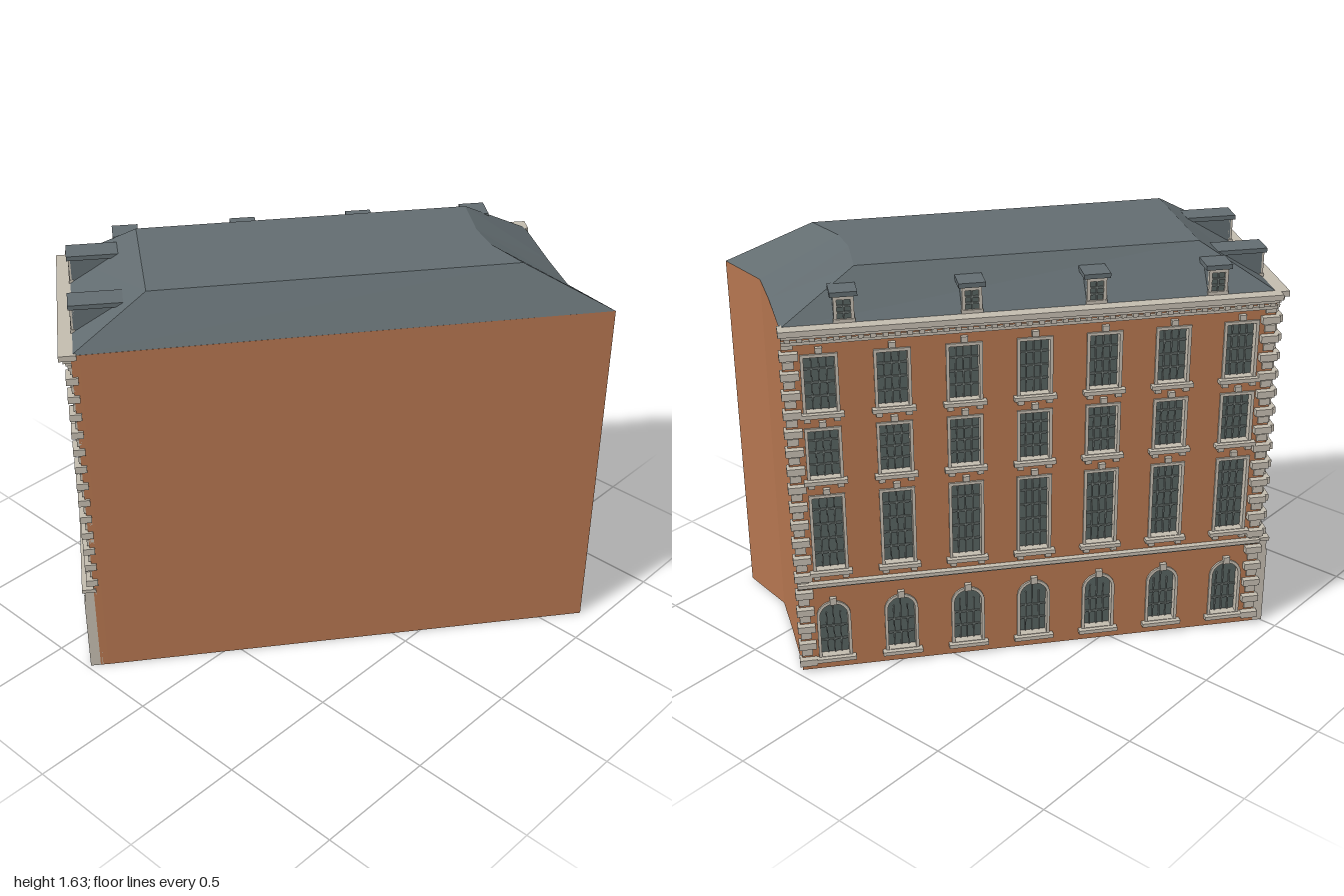
import * as THREE from 'three';

const mat = (color) => new THREE.MeshStandardMaterial({ color, flatShading: true });
const BRICK = mat(0xb4754f), ROOF = mat(0x626c70), STONE = mat(0xc2bbae), GLASS = mat(0x56615f), BAR = mat(0x747d7a);

const H = 1.457, TOP = 1.63, DEPTH = 0.03;
// plan corners [x, z]
const A = [-0.475, -0.905], B = [0.97, 0.25], C = [0.643, 0.92], D = [-0.955, -0.305];
const CURVE = [[0.69, 0.668], [0.8, 0.497]];

function add(parent, name, geometry, material, x = 0, y = 0, z = 0) {
  const m = new THREE.Mesh(geometry, material);
  m.name = name;
  m.position.set(x, y, z);
  parent.add(m);
  return m;
}

// box given by its centre x, bottom and top y, back and front z
function box(parent, name, material, x, w, y0, y1, z0, z1) {
  return add(parent, name, new THREE.BoxGeometry(w, y1 - y0, z1 - z0), material, x, (y0 + y1) / 2, (z0 + z1) / 2);
}

// rectangular or round-headed outline
function opening(Type, x, w, y0, y1, arched) {
  const p = new Type(), r = w / 2;
  p.moveTo(x - r, y0);
  p.lineTo(x + r, y0);
  if (arched) {
    p.lineTo(x + r, y1 - r);
    p.absarc(x, y1 - r, r, 0, Math.PI, false);
  } else {
    p.lineTo(x + r, y1);
    p.lineTo(x - r, y1);
  }
  p.closePath();
  return p;
}

const extrude = (shape, depth) => new THREE.ExtrudeGeometry(shape, { depth, bevelEnabled: false, curveSegments: 8 });

// glazing bars over a pane
function glazing(g, x, w, y0, y1, z, cols, rows) {
  for (let i = 1; i < cols; i++) box(g, 'verticalBar', BAR, x - w / 2 + (w * i) / cols, 0.005, y0, y1, z, z + 0.006);
  for (let j = 1; j < rows; j++) {
    const y = y0 + ((y1 - y0) * j) / rows;
    box(g, 'horizontalBar', BAR, x, w, y - 0.003, y + 0.003, z, z + 0.007);
  }
}

function makeWindow(parent, { x, w, y0, y1, arched, rows }) {
  const g = new THREE.Group();
  g.name = arched ? 'archedWindow' : 'window';
  parent.add(g);
  add(g, 'pane', extrude(opening(THREE.Shape, x, w, y0, y1, arched), 0.004), GLASS, 0, 0, -0.029);
  const frame = opening(THREE.Shape, x, w + 0.024, y0, y1 + 0.012, arched);
  frame.holes.push(opening(THREE.Path, x, w, y0 + 0.002, y1, arched));
  add(g, 'surround', extrude(frame, 0.036), STONE, 0, 0, -0.028);
  glazing(g, x, w, y0, arched ? y1 - w / 2 : y1, -0.025, 4, rows);
  if (arched) box(g, 'archBar', BAR, x, 0.005, y1 - w / 2, y1, -0.025, -0.019);
  box(g, 'sill', STONE, x, w + 0.05, y0 - 0.016, y0, -0.02, 0.026);
  for (const s of [-1, 1]) if (!arched) box(g, 'sillBracket', STONE, x + s * 0.055, 0.024, y0 - 0.034, y0 - 0.016, 0, 0.018);
  box(g, 'keystone', STONE, x, 0.026, y1 + (arched ? 0 : 0.018), y1 + (arched ? 0.03 : 0.04), 0, 0.016);
}

function makeDormer(parent, x, depth) {
  const g = new THREE.Group();
  g.name = 'dormer';
  parent.add(g);
  box(g, 'dormerBody', ROOF, x, 0.074, H, 1.562, -depth, -0.014);
  box(g, 'dormerRoof', ROOF, x, 0.1, 1.562, 1.58, -depth, 0);
  box(g, 'dormerPane', GLASS, x, 0.05, 1.475, 1.55, -0.02, -0.012);
  for (const s of [-1, 1]) box(g, 'dormerJamb', STONE, x + s * 0.031, 0.012, H, 1.562, -0.02, -0.006);
  box(g, 'dormerSill', STONE, x, 0.08, H, 1.475, -0.02, -0.003);
  box(g, 'dormerHead', STONE, x, 0.074, 1.549, 1.562, -0.02, -0.006);
  glazing(g, x, 0.05, 1.475, 1.549, -0.012, 2, 3);
}

// stacked corner stones, alternating long and short
function quoins(g, L, end, y0) {
  const side = end ? -1 : 1, edge = end ? L + 0.01 : -0.01;
  for (let i = 0; i < 36; i++) {
    const y = 0.03 + i * 0.0385, long = i % 2 === 0;
    if (y < y0 || y > 1.39) continue;
    const w = long ? 0.068 : 0.042;
    const e = long ? edge : edge - (end ? 0.01 : -0.01);
    box(g, 'quoin', STONE, e + side * w / 2, w, y, y + 0.028, -0.02, long ? 0.025 : 0.008);
  }
}

// decorated wall from p to q; local x runs along it, local z points outwards
function makeFacade(name, p, q, bays, dormers, dormerDepth, shop) {
  const g = new THREE.Group();
  g.name = name;
  const dx = q[0] - p[0], dz = q[1] - p[1], L = Math.hypot(dx, dz);
  g.position.set(p[0], 0, p[1]);
  g.rotation.y = Math.atan2(-dz, dx);

  const windows = [];
  for (let i = 0; i < bays; i++) {
    const x = ((i + 0.5) * L) / bays;
    windows.push({ x, w: 0.112, y0: 1.12, y1: 1.34, rows: 4 }, { x, w: 0.112, y0: 0.845, y1: 1.045, rows: 4 },
      { x, w: 0.112, y0: 0.45, y1: 0.765, rows: 5 });
    if (!shop) windows.push({ x, w: 0.108, y0: 0.055, y1: 0.295, rows: 3, arched: true });
  }
  const wall = new THREE.Shape([[0, 0], [L, 0], [L, H], [0, H]].map((c) => new THREE.Vector2(...c)));
  for (const o of windows) wall.holes.push(opening(THREE.Path, o.x, o.w + 0.01, o.y0, o.y1 + 0.005, o.arched));
  add(g, 'brickFace', extrude(wall, DEPTH), BRICK, 0, 0, -DEPTH);
  windows.forEach((o) => makeWindow(g, o));

  // cornice with dentils
  box(g, 'corniceTop', STONE, L / 2, L + 0.02, 1.44, 1.462, -0.02, 0.045);
  box(g, 'corniceBed', STONE, L / 2, L, 1.425, 1.44, -0.01, 0.03);
  box(g, 'architrave', STONE, L / 2, L, 1.395, 1.408, -0.01, 0.014);
  const n = Math.round(L / 0.044);
  for (let i = 0; i < n; i++) box(g, 'dentil', STONE, ((i + 0.5) * L) / n, 0.02, 1.408, 1.425, -0.01, 0.022);

  quoins(g, L, false, shop ? 0.4 : 0);
  quoins(g, L, true, shop ? 0.4 : 0);

  for (let i = 0; i < dormers; i++) makeDormer(g, ((i + 0.5) * L) / dormers, dormerDepth);

  if (shop) {
    // glazed shopfront between pilasters
    const s = new THREE.Group();
    s.name = 'shopfront';
    g.add(s);
    box(s, 'fascia', STONE, L / 2, L, 0.335, 0.38, -0.01, 0.036);
    box(s, 'shopCornice', STONE, L / 2, L + 0.01, 0.38, 0.395, -0.01, 0.045);
    box(s, 'plinth', STONE, L / 2, L, 0, 0.035, -0.01, 0.03);
    box(s, 'shopGlass', GLASS, L / 2, L - 0.02, 0.035, 0.335, -0.01, 0.01);
    const bay = (L - 0.04) / bays;
    for (let i = 0; i <= bays; i++) {
      box(s, 'pilaster', STONE, 0.02 + i * bay, 0.04, 0, 0.335, -0.01, 0.04);
      if (i < bays) glazing(s, 0.02 + (i + 0.5) * bay, bay - 0.04, 0.035, 0.335, 0.01, 5, 4);
    }
  } else {
    box(g, 'stringCourse', STONE, L / 2, L, 0.385, 0.4, -0.01, 0.024);
    box(g, 'stringBed', STONE, L / 2, L, 0.375, 0.385, -0.01, 0.012);
  }
  return g;
}

// hipped roof with a flat top, lofted between two outlines
function makeRoof() {
  const low = [D, C, ...CURVE, B, A];
  const high = [[-0.657, -0.224], [0.444, 0.626], [0.48, 0.444], [0.54, 0.33], [0.67, 0.17], [-0.35, -0.626]];
  const pos = [], n = low.length;
  const put = (p, y) => pos.push(p[0], y, p[1]);
  for (let i = 0; i < n; i++) {
    const j = (i + 1) % n;
    put(low[i], H); put(low[j], H); put(high[j], TOP);
    put(low[i], H); put(high[j], TOP); put(high[i], TOP);
  }
  const flat = high.map(([x, z]) => new THREE.Vector2(x, -z));
  for (const f of THREE.ShapeUtils.triangulateShape(flat, [])) f.forEach((k) => put(high[k], TOP));
  const geo = new THREE.BufferGeometry();
  geo.setAttribute('position', new THREE.Float32BufferAttribute(pos, 3));
  geo.computeVertexNormals();
  return geo;
}

export function createModel() {
  const model = new THREE.Group();
  model.name = 'cornerBuilding';

  // plain brick body, set back behind the two decorated walls
  const plan = [[-0.932, -0.286], D, C, ...CURVE, B, [0.951, 0.273], [-0.47, -0.863]];
  plan.splice(1, 1);
  plan.splice(plan.indexOf(B), 1);
  const body = extrude(new THREE.Shape(plan.map(([x, z]) => new THREE.Vector2(x, -z))), H);
  body.rotateX(-Math.PI / 2);
  add(model, 'brickBody', body, BRICK);

  add(model, 'roof', makeRoof(), ROOF);
  model.add(makeFacade('longFacade', B, A, 7, 4, 0.1, false));
  model.add(makeFacade('shortFacade', A, D, 3, 2, 0.2, true));
  return model;
}
